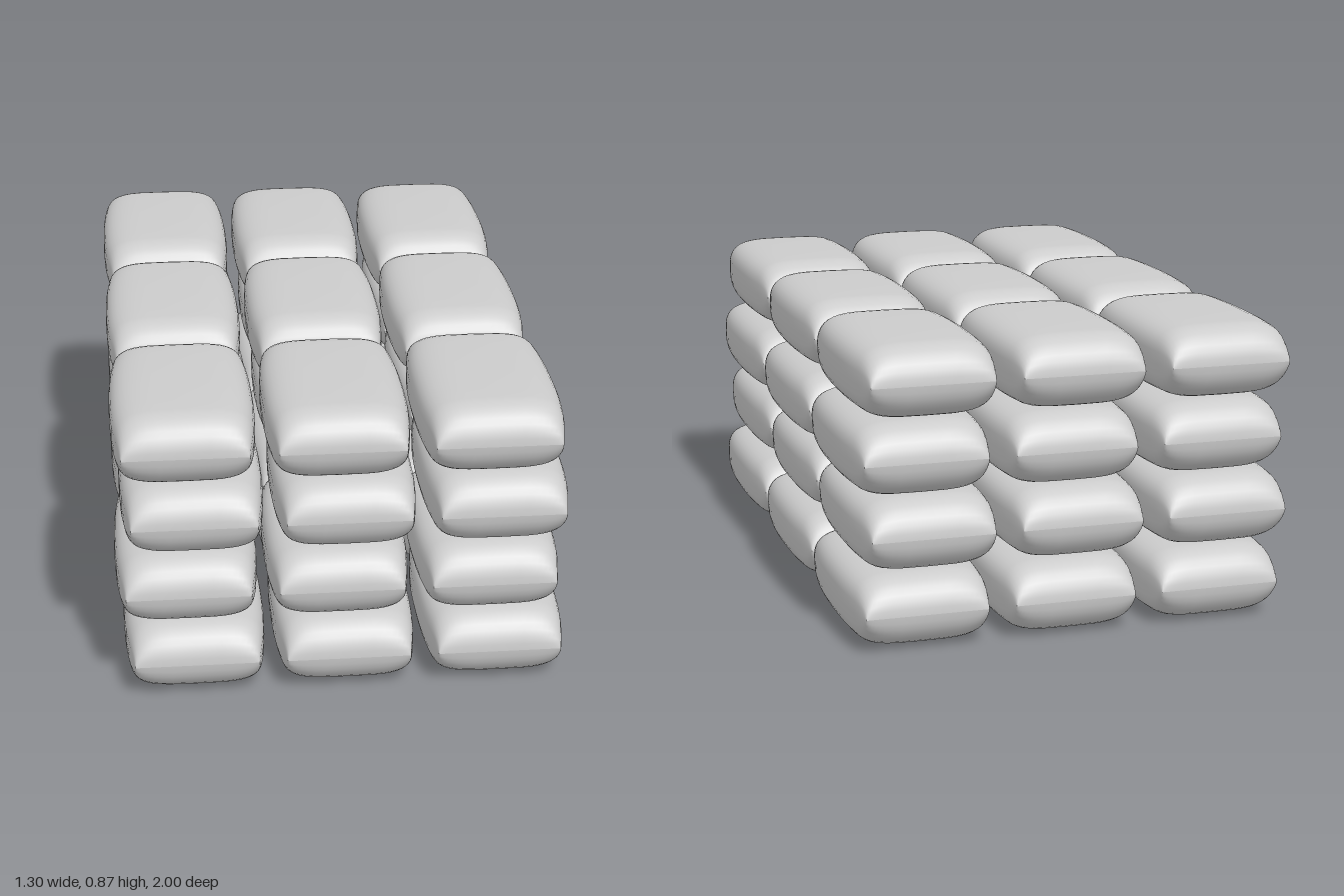
import * as THREE from 'three';

const HALF_W = 0.206, END_W = 0.178, HALF_H = 0.1085, HALF_L = 0.323;
const END_R = 0.105; // depth of the rounded ends
const SIDES = 40;

// Signed power, for superellipse cross-sections
const spow = (v, p) => Math.sign(v) * Math.pow(Math.abs(v), p);

// Positions along z: dense on the rounded ends, sparse along the body
function stations() {
  const half = [];
  for (let i = 0; i <= 8; i++) half.push(HALF_L - END_R * (1 - Math.cos((i / 8) * Math.PI / 2)));
  for (let i = 1; i <= 4; i++) half.push((HALF_L - END_R) * (1 - i / 4));
  return [...half.map(z => -z), ...half.slice(0, -1).reverse()];
}

// One plump sack: superellipse rings that close to a straight seam at each end
function sackGeometry() {
  const pos = [], index = [], zs = stations();
  zs.forEach((z, k) => {
    const t = Math.abs(z) / HALF_L;
    const u = Math.max(0, (Math.abs(z) - (HALF_L - END_R)) / END_R);
    const h = HALF_H * (1 - 0.06 * t * t) * Math.pow(Math.max(0, 1 - Math.pow(u, 2.1)), 0.5);
    const w = END_W + (HALF_W - END_W) * (1 - Math.pow(t, 2.6));
    for (let i = 0; i < SIDES; i++) {
      const a = (i / SIDES) * Math.PI * 2;
      pos.push(w * spow(Math.cos(a), 0.5), h * spow(Math.sin(a), 0.62), z);
      if (k === zs.length - 1) continue;
      const p = k * SIDES + i, q = k * SIDES + (i + 1) % SIDES;
      index.push(p, q, q + SIDES, p, q + SIDES, p + SIDES);
    }
  });
  const geo = new THREE.BufferGeometry();
  geo.setAttribute('position', new THREE.Float32BufferAttribute(pos, 3));
  geo.setIndex(index);
  geo.computeVertexNormals();
  return geo;
}

export function createModel() {
  const model = new THREE.Group();
  model.name = 'sackStack';
  const geo = sackGeometry();
  const mat = new THREE.MeshStandardMaterial({ color: 0xcccccc, side: THREE.DoubleSide });

  // Four layers of 3 x 3 sacks, shifted slightly left and right in turn
  for (let layer = 0; layer < 4; layer++) {
    const group = new THREE.Group();
    group.name = `layer${layer + 1}`;
    group.position.set(layer % 2 ? -0.01 : 0.01, 0.1105 + layer * 0.2177, 0);
    for (let row = -1; row <= 1; row++) {
      for (let col = -1; col <= 1; col++) {
        const sack = new THREE.Mesh(geo, mat);
        sack.name = 'sack';
        sack.position.set(col * 0.436, 0, row * 0.677);
        group.add(sack);
      }
    }
    model.add(group);
  }
  // The odd layers lean the other way
  model.children.forEach((g, i) => { g.position.x = i % 2 ? -0.01 : 0.01; });
  return model;
}
